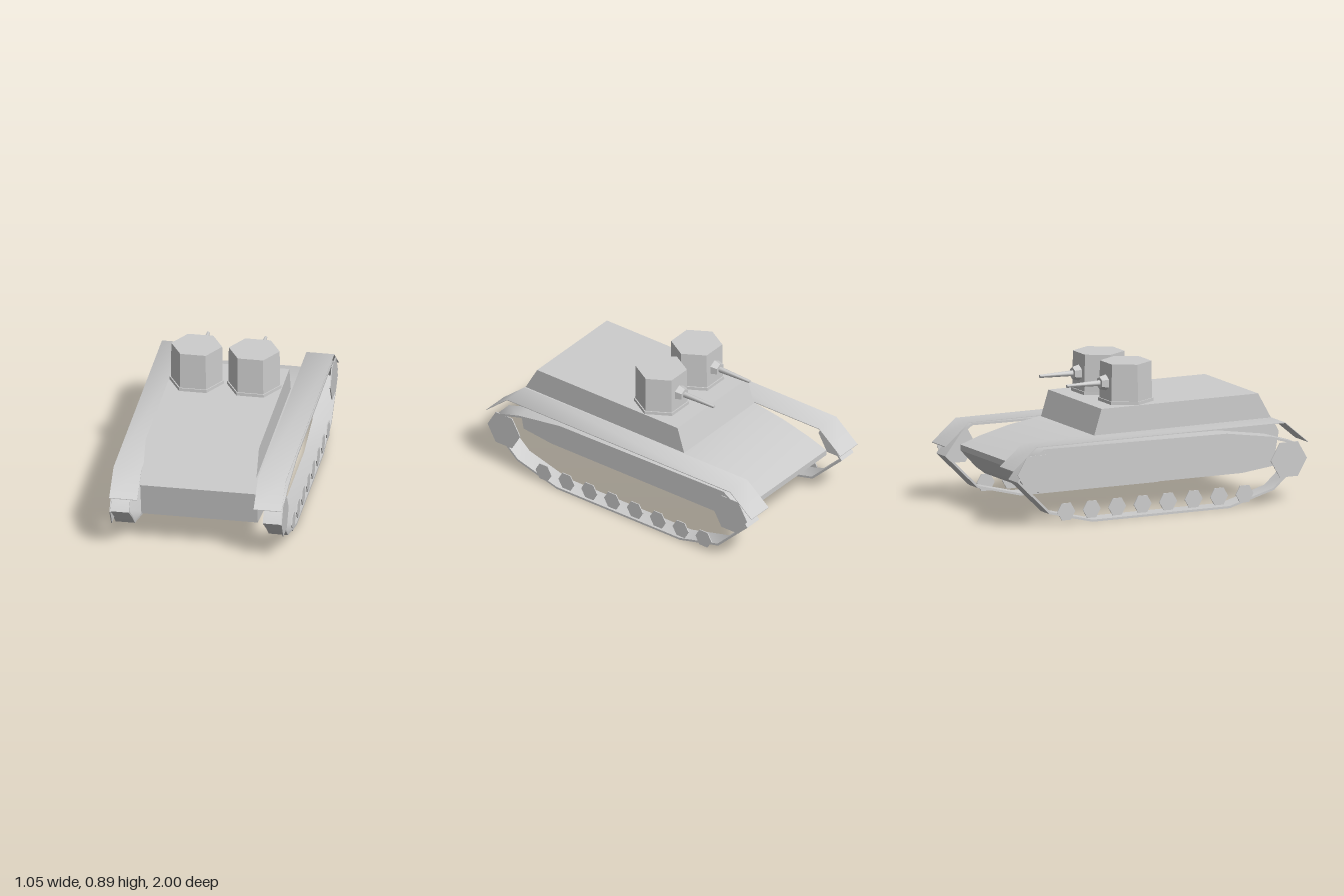
import * as THREE from 'three';
import { toCreasedNormals } from 'three/addons/utils/BufferGeometryUtils.js';

export function createModel() {
  const model = new THREE.Group();
  model.name = 'twinTurretTank';
  const paint = new THREE.MeshStandardMaterial({ color: 0xcccccc });
  paint.name = 'plainGrey';

  function add(name, geometry, parent = model) {
    const mesh = new THREE.Mesh(geometry, paint);
    mesh.name = name;
    parent.add(mesh);
    return mesh;
  }

  // Side outline of [z, y] points extruded across x, from x0 to x1;
  // a hole runs the same way round as its outline and is reversed here
  const toVectors = (pts) => pts.map(([z, y]) => new THREE.Vector2(-z, y));
  function sidePlate(points, x0, x1, crease, hole) {
    const shape = new THREE.Shape(toVectors(points));
    if (hole) shape.holes.push(new THREE.Path(toVectors(hole).reverse()));
    const g = new THREE.ExtrudeGeometry(shape, { depth: x1 - x0, bevelEnabled: false });
    g.rotateY(Math.PI / 2);
    g.translate(x0, 0, 0);
    return toCreasedNormals(g, crease);
  }

  // Closed loop moved inward by a constant distance
  function inset(points, d) {
    const n = points.length;
    return points.map((p, i) => {
      const a = points[(i + n - 1) % n], b = points[(i + 1) % n];
      const u = new THREE.Vector2(p[0] - a[0], p[1] - a[1]).normalize();
      const v = new THREE.Vector2(b[0] - p[0], b[1] - p[1]).normalize();
      const k = d / (1 + u.dot(v));
      return [p[0] - (u.y + v.y) * k, p[1] + (u.x + v.x) * k];
    });
  }

  // Thin six-sided disc facing sideways, with points fore and aft
  const discWidth = 0.006;
  function hexDisc(radius) {
    const g = new THREE.CylinderGeometry(radius, radius, discWidth, 6);
    g.rotateZ(Math.PI / 2);
    return toCreasedNormals(g, 0.5);
  }

  // Hull and raised superstructure
  add('hull', sidePlate([
    [0.64, 0.17], [0.85, 0.195], [0.89, 0.405], [0.842, 0.49], [-0.355, 0.487],
    [-0.57, 0.452], [-0.76, 0.405], [-0.895, 0.36], [-0.895, 0.325], [-0.79, 0.215], [-0.73, 0.17],
  ], -0.355, 0.355, 0.67));
  add('superstructure', sidePlate([
    [0.842, 0.49], [0.755, 0.645], [-0.305, 0.645], [-0.355, 0.487],
  ], -0.345, 0.345, 0.6));

  // Running gear, the same on both sides
  const trackLoop = [
    [0.47, 0], [0.77, 0.085], [0.86, 0.165], [0.985, 0.262], [0.92, 0.362], [0.76, 0.41],
    [0.45, 0.457], [-0.79, 0.472], [-0.86, 0.425], [-0.97, 0.285], [-0.75, 0.072], [-0.46, 0],
  ];
  const fenderLine = [
    [1, 0.36], [0.845, 0.49], [-0.84, 0.49], [-1, 0.357],
    [-1, 0.353], [-0.839, 0.486], [0.844, 0.486], [1, 0.356],
  ];
  const trackInner = 0.408, trackOuter = 0.525;
  const discX = trackOuter - discWidth / 2;
  for (const [side, s] of [['left', 1], ['right', -1]]) {
    const gear = new THREE.Group();
    gear.name = side + 'RunningGear';
    model.add(gear);
    const span = (a, b) => (s > 0 ? [a, b] : [-b, -a]);

    add(side + 'Track', sidePlate(trackLoop, ...span(trackInner, trackOuter), 0.9, inset(trackLoop, 0.013)), gear);
    add(side + 'Fender', sidePlate(fenderLine, ...span(0.355, trackOuter), 0.78), gear);
    add(side + 'FrontWheel', hexDisc(0.122), gear).position.set(s * discX, 0.262, 0.87);
    add(side + 'RearWheel', hexDisc(0.128), gear).position.set(s * discX, 0.327, -0.838);
    for (let i = 0; i < 8; i++) {
      add(side + 'RoadWheel' + (i + 1), hexDisc(0.06), gear)
        .position.set(s * discX, 0.078, 0.57 - i * 0.1725);
    }
  }

  // Two six-sided turrets with guns aimed along -z
  function hexPrism(top, bottom, y0, y1) {
    const g = new THREE.CylinderGeometry(top, bottom, y1 - y0, 6);
    g.rotateY(Math.PI / 2);
    g.translate(0, (y0 + y1) / 2, 0);
    return toCreasedNormals(g, 0.5);
  }
  function gunPart(tip, base, sides, z0, z1) {
    const g = new THREE.CylinderGeometry(tip, base, z0 - z1, sides);
    g.rotateX(-Math.PI / 2);
    g.translate(0, 0.768, (z0 + z1) / 2);
    return toCreasedNormals(g, 0.9);
  }
  for (const [side, x] of [['left', 0.175], ['right', -0.175]]) {
    const turret = new THREE.Group();
    turret.name = side + 'Turret';
    turret.position.set(x, 0, -0.053);
    model.add(turret);
    add(side + 'TurretRing', hexPrism(0.166, 0.167, 0.64, 0.664), turret);
    add(side + 'TurretBody', hexPrism(0.155, 0.158, 0.66, 0.89), turret);
    add(side + 'GunMount', gunPart(0.038, 0.052, 6, -0.125, -0.178), turret);
    add(side + 'GunBarrel', gunPart(0.01, 0.018, 8, -0.17, -0.4), turret);
  }
  return model;
}
